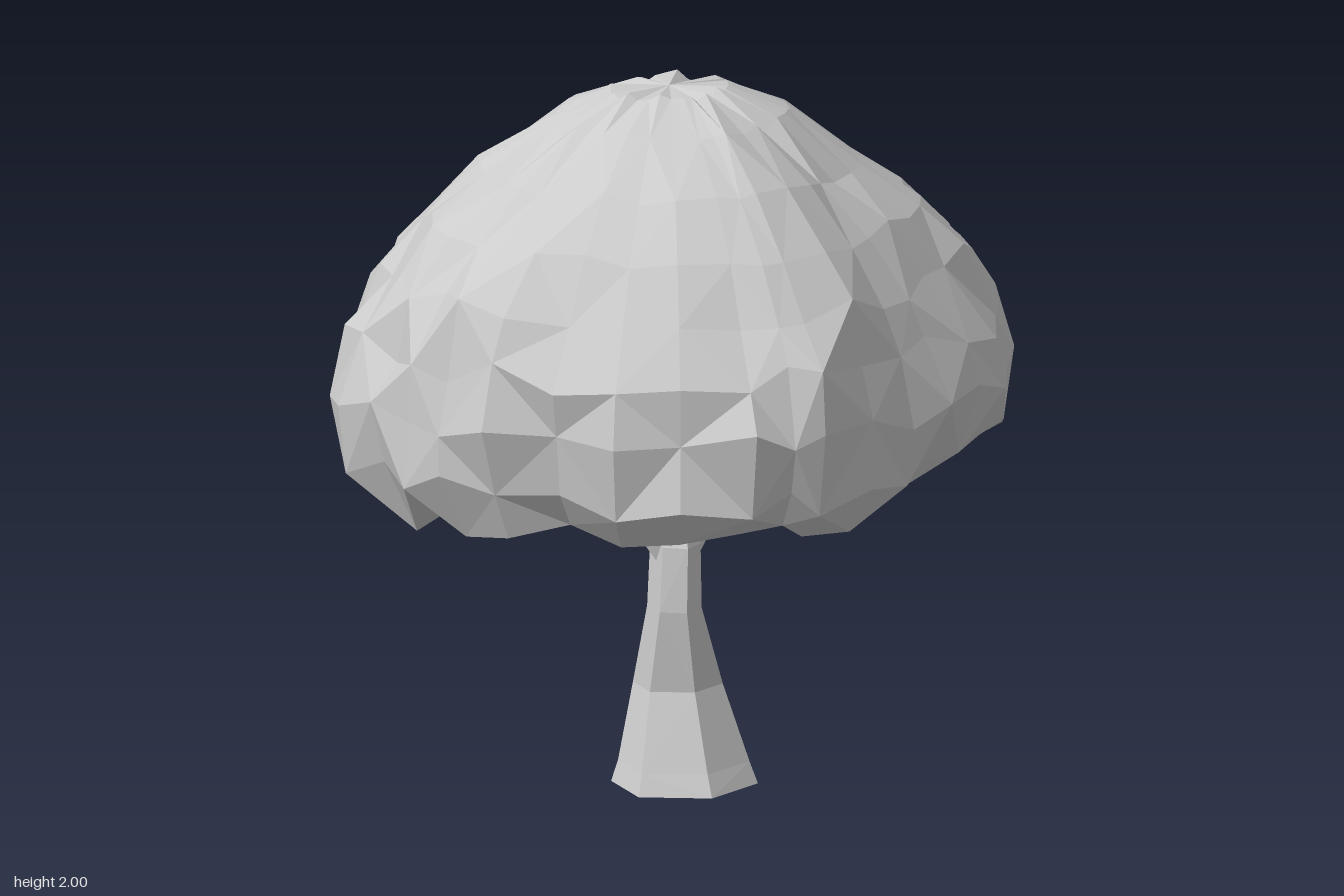
import * as THREE from 'three';

const grey = new THREE.MeshStandardMaterial({ color: 0xcccccc, flatShading: true });

// Seeded random numbers
function seeded(seed) {
  return () => {
    seed = (seed * 16807) % 2147483647;
    return seed / 2147483647;
  };
}

// Skin a list of closed rings, ordered top to bottom; a ring collapsed to a point closes an end
function skin(name, rings) {
  const n = rings[0].length;
  const pos = [];
  const face = (a, b, c) => {
    if (a.distanceTo(b) < 1e-6 || b.distanceTo(c) < 1e-6 || c.distanceTo(a) < 1e-6) return;
    for (const p of [a, b, c]) pos.push(p.x, p.y, p.z);
  };
  for (let r = 0; r < rings.length - 1; r++) {
    for (let i = 0; i < n; i++) {
      const j = (i + 1) % n;
      const a = rings[r][i], b = rings[r][j], c = rings[r + 1][i], d = rings[r + 1][j];
      if ((r + i) % 2) { face(a, c, b); face(b, c, d); }
      else { face(a, c, d); face(a, d, b); }
    }
  }
  const geo = new THREE.BufferGeometry();
  geo.setAttribute('position', new THREE.Float32BufferAttribute(pos, 3));
  geo.computeVertexNormals();
  const mesh = new THREE.Mesh(geo, grey);
  mesh.name = name;
  return mesh;
}

// Ring of n points around a centre, optionally tilted
function ring(center, rx, rz, n, tilt = new THREE.Quaternion()) {
  return Array.from({ length: n }, (_, i) => {
    const a = ((i + 0.5) / n) * Math.PI * 2;
    return new THREE.Vector3(Math.cos(a) * rx, 0, -Math.sin(a) * rz).applyQuaternion(tilt).add(center);
  });
}

// Tapered branch through [x, y, z, radius] points, from root to tip
function branch(name, path) {
  const up = new THREE.Vector3(0, 1, 0);
  const pts = path.map(p => new THREE.Vector3(p[0], p[1], p[2]));
  const rings = pts.map((p, i) => {
    const dir = pts[Math.min(i + 1, pts.length - 1)].clone().sub(pts[Math.max(i - 1, 0)]).normalize();
    const q = new THREE.Quaternion().setFromUnitVectors(up, dir);
    return ring(p, path[i][3], path[i][3], 5, q);
  });
  rings.unshift(ring(pts[0], 0, 0, 5));
  rings.push(ring(pts[pts.length - 1], 0, 0, 5));
  return skin(name, rings.reverse());
}

// Bent six-sided trunk: [y, centre x, centre z, half width, half depth]
function makeTrunk() {
  const rows = [
    [0.76, -0.01, 0.03, 0, 0],
    [0.76, -0.01, 0.03, 0.05, 0.065],
    [0.68, -0.015, 0.05, 0.065, 0.085],
    [0.5, -0.02, 0.055, 0.072, 0.085],
    [0.27, 0.01, 0.01, 0.125, 0.115],
    [0.06, 0.01, 0.05, 0.185, 0.16],
    [0, 0.01, 0.055, 0.205, 0.185],
    [0, 0.01, 0.055, 0, 0]
  ];
  return skin('trunk', rows.map(([y, x, z, w, d]) => ring(new THREE.Vector3(x, y, z), w, d, 6)));
}

// Lumpy crown with a hollow underside
function makeCanopy() {
  const rand = seeded(71);
  // Plan outline (x, z), counter-clockwise from above starting at the left side
  const outline = new THREE.CatmullRomCurve3([
    [1, -0.07], [0.95, -0.25], [0.85, -0.5], [0.66, -0.7], [0.39, -0.91], [0.12, -0.99],
    [-0.06, -0.96], [-0.3, -0.8], [-0.57, -0.64], [-0.72, -0.47], [-0.88, -0.36], [-0.94, -0.2],
    [-1, 0.02], [-0.96, 0.25], [-0.88, 0.43], [-0.66, 0.66], [-0.43, 0.86], [-0.12, 0.98],
    [0.03, 0.99], [0.36, 0.83], [0.56, 0.64], [0.81, 0.43], [0.94, 0.2], [0.97, 0.05]
  ].map(([x, z]) => new THREE.Vector3(x, 0, z)), true);

  // Per row: share of the outline, then height towards +x, -z, -x and +z
  const rows = [
    [0, 1.99, 1.99, 1.99, 1.99],
    [0.17, 1.97, 1.96, 1.98, 1.99],
    [0.35, 1.88, 1.89, 1.9, 1.91],
    [0.55, 1.72, 1.75, 1.78, 1.78],
    [0.72, 1.61, 1.59, 1.64, 1.64],
    [0.87, 1.44, 1.45, 1.49, 1.5],
    [0.96, 1.28, 1.31, 1.33, 1.36],
    [1, 1.11, 1.18, 1.18, 1.18],
    [0.97, 0.98, 1.1, 1.0, 1.0],
    [0.85, 0.9, 1.03, 0.87, 0.9],
    [0.65, 0.98, 1.03, 0.97, 0.96],
    [0.35, 1.1, 1.1, 1.1, 1.1],
    [0, 1.15, 1.15, 1.15, 1.15]
  ];
  const n = 40;
  const rings = rows.map(([s, ...h], r) => {
    const rim = r >= 5 && r <= 9 ? 1 : 0.45;
    return Array.from({ length: n }, (_, i) => {
      const p = outline.getPoint(i / n);
      const t = ((Math.atan2(-p.z, p.x) / (Math.PI / 2)) + 4) % 4;
      const k = Math.floor(t), f = t - k;
      const blend = f * f * (3 - 2 * f);
      let y = h[k % 4] * (1 - blend) + h[(k + 1) % 4] * blend;
      let share = s;
      // Facet noise, strongest around the rim
      if (s > 0) {
        y += (rand() - 0.5) * 0.09 * rim;
        share *= 1 + (rand() - 0.8) * 0.09 * rim;
        if (s < 0.2) y = Math.min(y, 2);
      }
      // The crown's peak leans slightly to the front and right
      return new THREE.Vector3(p.x * share - 0.06 * (1 - s), y, p.z * share + 0.11 * (1 - s));
    });
  });
  return skin('canopy', rings);
}

export function createModel() {
  const model = new THREE.Group();
  model.name = 'tree';
  model.add(makeTrunk(), makeCanopy());

  const branches = new THREE.Group();
  branches.name = 'branches';
  branches.add(
    branch('rightBranch', [[-0.02, 0.67, 0.05, 0.065], [-0.14, 0.82, 0, 0.045], [-0.28, 0.92, -0.09, 0.03], [-0.32, 1.03, -0.15, 0.022]]),
    branch('rightTwig', [[-0.25, 0.9, -0.07, 0.026], [-0.36, 0.95, -0.13, 0.016], [-0.5, 0.97, -0.16, 0.012], [-0.54, 1.0, -0.17, 0.01]]),
    branch('leftBranch', [[-0.01, 0.67, 0.05, 0.065], [0.1, 0.79, 0.03, 0.045], [0.25, 0.88, 0.01, 0.033], [0.28, 1.04, 0, 0.026]]),
    branch('leftTwig', [[0.23, 0.87, 0.01, 0.026], [0.4, 0.86, 0.02, 0.018], [0.51, 0.99, 0.03, 0.012]])
  );
  model.add(branches);
  return model;
}
